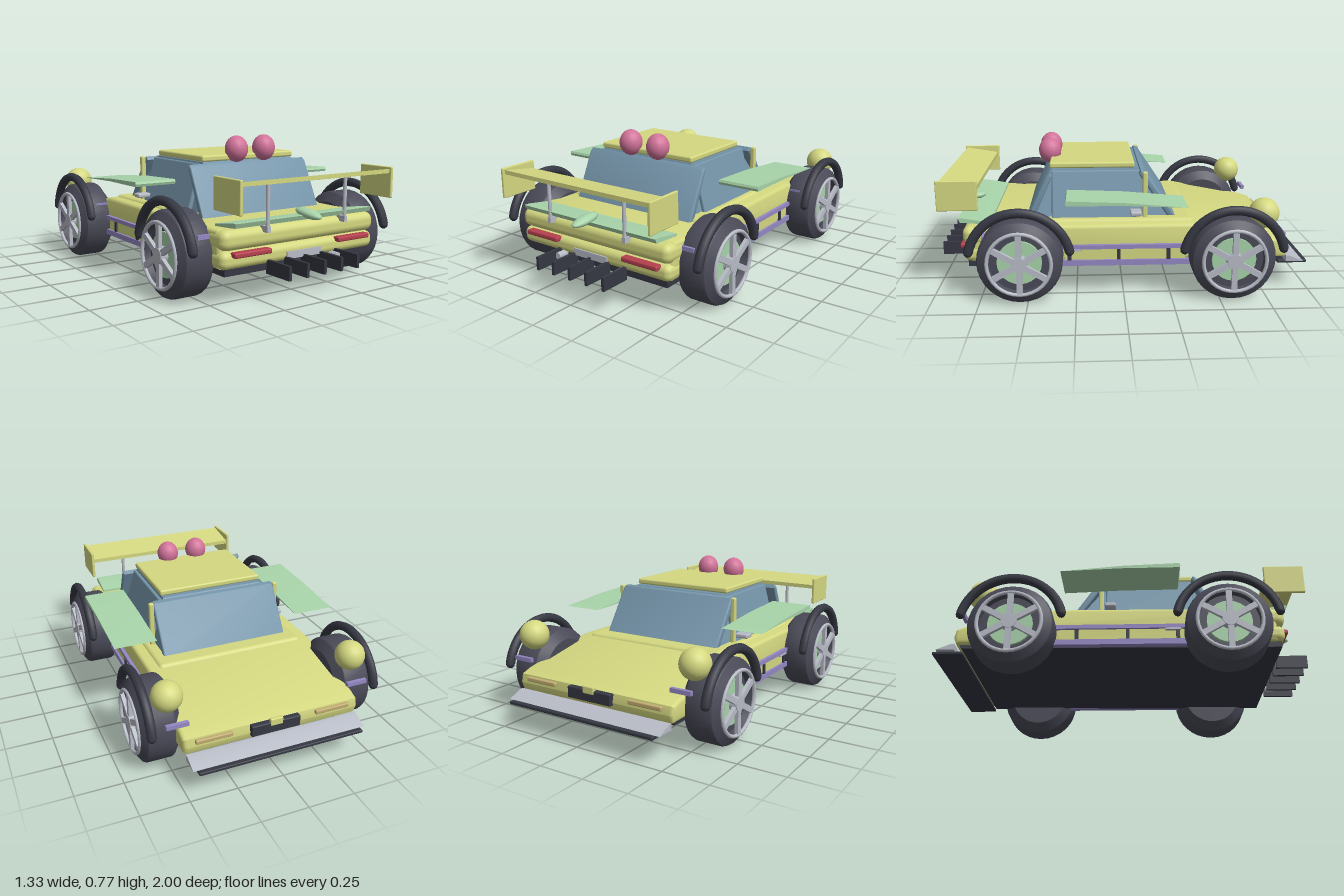
import * as THREE from 'three';
import { toCreasedNormals } from 'three/addons/utils/BufferGeometryUtils.js';
import { RoundedBoxGeometry } from 'three/addons/geometries/RoundedBoxGeometry.js';

const mat = (name, color, side = THREE.FrontSide) => {
  const m = new THREE.MeshStandardMaterial({ color, side });
  m.name = name;
  return m;
};

export function createModel() {
  const yellow = mat('yellow paint', 0xd4d880), tyre = mat('tyre rubber', 0x4a4a58);
  const dark = mat('dark trim', 0x363843), green = mat('green', 0xa8d4aa);
  const glass = mat('blue glass', 0x7595aa), pink = mat('pink', 0xd2739a);
  const purple = mat('purple', 0x9488c4), grey = mat('light grey', 0xb8bcc6);
  const red = mat('tail light red', 0xb5404e), tan = mat('tan lamp', 0xc2ad72);

  const car = new THREE.Group();
  car.name = 'buggy';

  const add = (name, geo, m, x = 0, y = 0, z = 0, parent = car) => {
    const mesh = new THREE.Mesh(geo, m);
    mesh.name = name;
    mesh.position.set(x, y, z);
    parent.add(mesh);
    return mesh;
  };
  // Box given by its limits along each axis; r rounds the edges
  const box = (name, m, [x0, x1], [y0, y1], [z0, z1], r = 0) => {
    const s = [x1 - x0, y1 - y0, z1 - z0];
    const geo = r ? new RoundedBoxGeometry(...s, 3, r) : new THREE.BoxGeometry(...s);
    return add(name, geo, m, (x0 + x1) / 2, (y0 + y1) / 2, (z0 + z1) / 2);
  };
  // Side profile of [z, y] points, swept across x from x0 to x1
  const sweep = (name, m, pts, x0, x1, bevel = 0) => {
    const shape = new THREE.Shape(pts.map(p => new THREE.Vector2(...p)));
    const depth = x1 - x0 - 2 * bevel;
    const geo = new THREE.ExtrudeGeometry(shape, {
      depth, bevelEnabled: bevel > 0, bevelSize: bevel, bevelThickness: bevel, bevelOffset: -bevel, bevelSegments: 3,
    });
    geo.rotateY(-Math.PI / 2).translate(x1 - bevel, 0, 0);
    return add(name, toCreasedNormals(geo, 0.6), m);
  };
  const both = fn => [1, -1].forEach(fn);
  const span = (s, a, b) => (s > 0 ? [a, b] : [-b, -a]);

  // Body shell, floor and rounded tail bumpers
  sweep('bodyShell', yellow, [[-0.87, 0.18], [-0.885, 0.22], [-0.875, 0.265], [-0.82, 0.285], [-0.36, 0.375],
    [0.78, 0.37], [0.8, 0.34], [0.8, 0.18]], -0.485, 0.485, 0.02);
  sweep('floor', dark, [[-0.86, 0.185], [-0.84, 0.16], [0.82, 0.15], [0.82, 0.185]], -0.465, 0.465);
  box('upperTailBumper', yellow, [-0.49, 0.49], [0.27, 0.37], [0.7, 0.845], 0.04);
  box('lowerTailBumper', yellow, [-0.49, 0.49], [0.18, 0.268], [0.7, 0.84], 0.035);
  box('cabinSurround', yellow, [-0.425, 0.425], [0.3, 0.388], [-0.38, 0.5], 0.025);

  // Cabin core: a box whose top is drawn in to the roof line
  const core = new THREE.BoxGeometry(1, 1, 1);
  const p = core.attributes.position;
  for (let i = 0; i < p.count; i++) {
    const top = p.getY(i) > 0;
    p.setXYZ(i, Math.sign(p.getX(i)) * (top ? 0.295 : 0.365), top ? 0.638 : 0.37,
      p.getZ(i) > 0 ? (top ? 0.38 : 0.5) : (top ? -0.09 : -0.26));
  }
  core.computeVertexNormals();
  add('cabinGlass', core, glass);
  // Window slabs
  sweep('rearWindow', glass, [[0.52, 0.37], [0.405, 0.615], [0.385, 0.63], [0.375, 0.61], [0.48, 0.37]], -0.385, 0.385, 0.01);
  sweep('windscreen', glass, [[-0.295, 0.375], [-0.25, 0.375], [-0.09, 0.615], [-0.1, 0.635], [-0.125, 0.63]], -0.365, 0.365, 0.01);
  both(s => {
    const pane = add('sideWindow', new RoundedBoxGeometry(0.025, 0.27, 0.48, 2, 0.01), glass, s * 0.342, 0.5, 0.14);
    pane.rotation.z = s * 0.27;
    box('windowPillar', yellow, span(s, 0.362, 0.39), [0.37, 0.635], [-0.135, -0.108], 0.008);
    box('doorMirror', grey, span(s, 0.37, 0.45), [0.408, 0.432], [-0.1, -0.04], 0.008);
  });
  box('roof', yellow, [-0.303, 0.303], [0.64, 0.672], [-0.07, 0.39], 0.01);

  // Roof balls and headlamp balls
  both(s => {
    add('roofBall', new THREE.SphereGeometry(0.063, 16, 12), pink, s * 0.091, 0.7, 0.395).scale.y = 1.12;
    add('headlampBall', new THREE.SphereGeometry(0.08, 20, 14), yellow, s * 0.512, 0.44, -0.735);
  });

  // Tail wing
  sweep('tailWing', yellow, [[0.765, 0.555], [0.955, 0.588], [0.955, 0.61], [0.765, 0.578]], -0.475, 0.475);
  both(s => {
    box('wingEndPlate', yellow, span(s, 0.468, 0.485), [0.46, 0.62], [0.755, 0.968], 0.005);
    add('wingStrut', new THREE.CylinderGeometry(0.01, 0.01, 0.22, 12), grey, s * 0.248, 0.47, 0.865);
    box('strutFoot', grey, span(s, 0.238, 0.258), [0.345, 0.375], [0.82, 0.876]);
  });

  // Green tail lip and pod
  sweep('tailLip', green, [[0.7, 0.37], [0.86, 0.382], [0.87, 0.405], [0.84, 0.405], [0.7, 0.382]], -0.435, 0.435);
  const pod = add('tailPod', new THREE.SphereGeometry(1, 16, 12), green, 0, 0.412, 0.87);
  pod.scale.set(0.035, 0.023, 0.09);
  pod.rotation.x = 0.12;

  // Tail details: lights, plate, exhausts, diffuser fins
  both(s => {
    box('tailLight', red, span(s, 0.215, 0.435), [0.24, 0.266], [0.82, 0.865], 0.008);
    add('exhaust', new THREE.CylinderGeometry(0.019, 0.019, 0.1, 16).rotateX(Math.PI / 2), grey, s * 0.197, 0.175, 0.83);
  });
  box('tailPlate', grey, [-0.11, 0.11], [0.193, 0.23], [0.838, 0.848]);
  for (let i = -2; i <= 2; i++) {
    const x = i * 0.109;
    box('diffuserFin', dark, [x - 0.008, x + 0.008], [0.135, 0.205], [0.83, 1]);
  }

  // Nose details: splitter, grille, lamps
  box('splitter', dark, [-0.45, 0.45], [0.135, 0.152], [-1, -0.84], 0.005);
  sweep('splitterBlade', grey, [[-0.975, 0.152], [-0.88, 0.152], [-0.88, 0.185], [-0.9, 0.183]], -0.473, 0.473);
  box('noseGrille', dark, [-0.135, 0.135], [0.205, 0.265], [-0.905, -0.87], 0.006);
  box('noseBadgePlate', yellow, [-0.035, 0.035], [0.245, 0.285], [-0.908, -0.885], 0.006);
  both(s => box('noseLamp', tan, span(s, 0.23, 0.425), [0.235, 0.258], [-0.895, -0.87], 0.006));

  // Side skirts with rails and posts
  both(s => {
    box('skirtPanel', yellow, span(s, 0.46, 0.492), [0.185, 0.25], [-0.33, 0.31]);
    box('upperRail', purple, span(s, 0.47, 0.505), [0.248, 0.27], [-0.4, 0.38]);
    box('lowerRail', purple, span(s, 0.47, 0.505), [0.157, 0.187], [-0.4, 0.38]);
    for (const z of [-0.24, 0.025, 0.285]) box('railPost', dark, span(s, 0.48, 0.502), [0.187, 0.248], [z - 0.01, z + 0.01]);
    box('railClip', grey, span(s, 0.48, 0.508), [0.238, 0.248], [0.22, 0.3]);
    for (const z of [0.725, -0.385, -0.835]) box('suspensionRod', purple, span(s, 0.44, 0.555), [0.32, 0.342], [z - 0.01, z + 0.01]);
  });

  // Green side wings
  both(s => sweep('sideWing', green, [[0.295, 0.55], [0.3, 0.538], [0.295, 0.525], [0, 0.523], [-0.32, 0.51], [0, 0.538]], ...span(s, 0.413, 0.645)));

  // Wheels, built with the outer face toward +x
  const tyreGeo = toCreasedNormals(new THREE.LatheGeometry(
    [[0, -0.11], [0.165, -0.11], [0.215, -0.072], [0.22, -0.06], [0.22, 0.06], [0.213, 0.075], [0.17, 0.102], [0.155, 0.06], [0, 0.06]]
      .map(q => new THREE.Vector2(...q)), 32).rotateZ(-Math.PI / 2), 0.5);
  const discGeo = new THREE.CylinderGeometry(0.115, 0.115, 0.016, 24).rotateZ(-Math.PI / 2);
  const hubGeo = new THREE.CylinderGeometry(0.04, 0.045, 0.04, 16).rotateZ(-Math.PI / 2);
  const ringGeo = new THREE.TorusGeometry(0.163, 0.01, 8, 32).rotateY(Math.PI / 2);
  const spokeGeo = new THREE.BoxGeometry(0.02, 0.15, 0.03).translate(0, 0.087, 0);
  const archGeo = new THREE.TorusGeometry(0.263, 0.025, 8, 24, Math.PI * 0.86)
    .rotateZ(Math.PI * 0.07).rotateY(Math.PI / 2);
  // Caps closing the two ends of an arch
  const capGeo = new THREE.SphereGeometry(0.024, 8, 6);
  both(s => [0.537, -0.565].forEach(z => {
    const wheel = new THREE.Group();
    wheel.name = 'wheel';
    wheel.position.set(s * 0.55, 0.222, z);
    if (s < 0) wheel.rotation.y = Math.PI;
    car.add(wheel);
    add('tyre', tyreGeo, tyre, 0, 0, 0, wheel);
    add('brakeDisc', discGeo, green, 0.066, 0, 0, wheel);
    add('rimRing', ringGeo, grey, 0.103, 0, 0, wheel);
    add('hub', hubGeo, grey, 0.093, 0, 0, wheel);
    for (let i = 0; i < 6; i++) add('spoke', spokeGeo, grey, 0.1, 0, 0, wheel).rotation.x = i * Math.PI / 3;
    add('wheelArch', archGeo, dark, 0.07, 0, 0, wheel);
    both(e => add('archEnd', capGeo, dark, 0.07, 0.263 * Math.sin(Math.PI * 0.07), e * 0.263 * Math.cos(Math.PI * 0.07), wheel));
  }));

  return car;
}
